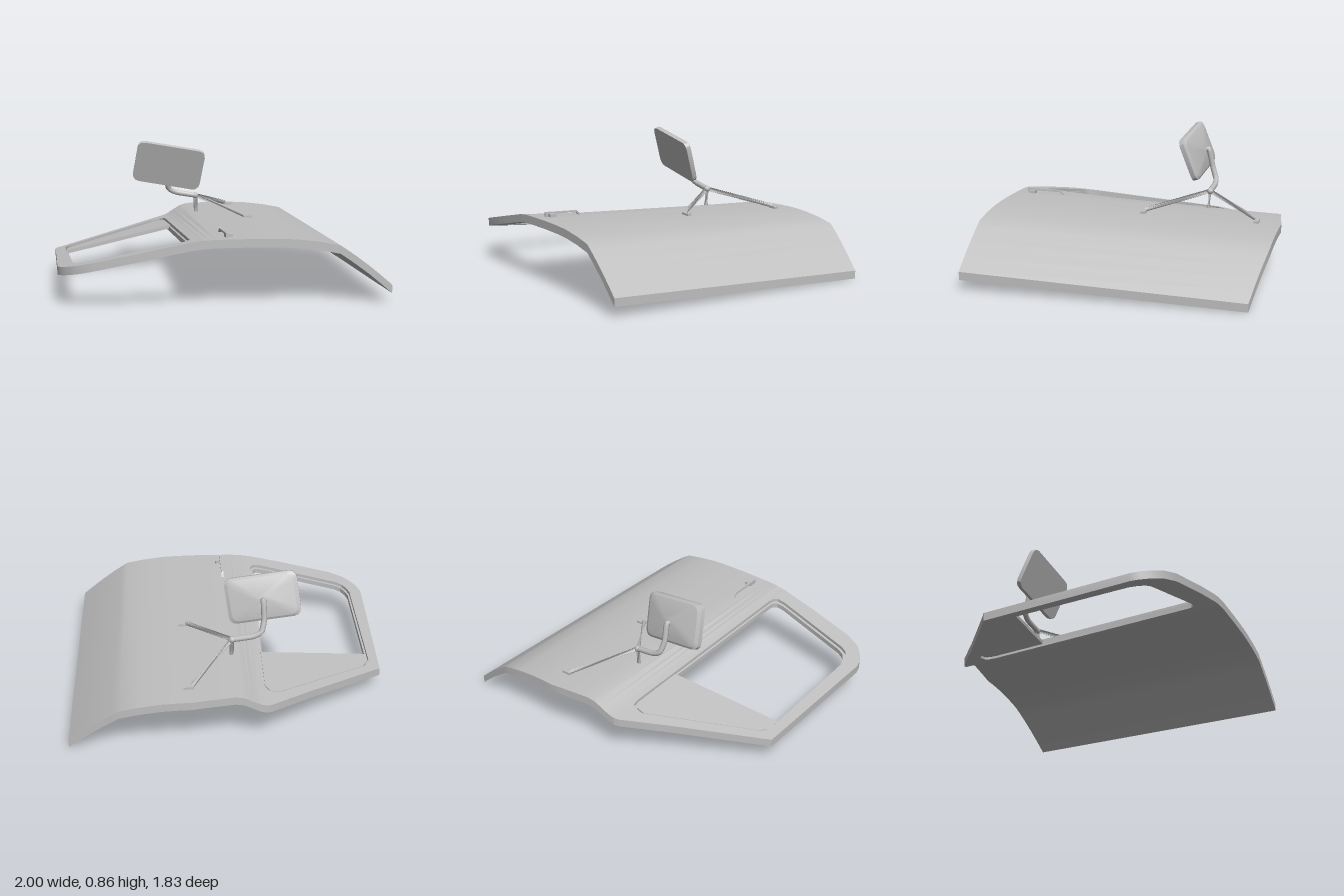
import * as THREE from 'three';
import { toCreasedNormals } from 'three/addons/utils/BufferGeometryUtils.js';

const THICK = 0.05;

// piecewise linear lookup in [[key, value], ...]
function lerpTable(t, k) {
  for (let i = 1; i < t.length; i++) {
    if (k <= t[i][0] || i === t.length - 1) {
      const f = (k - t[i - 1][0]) / (t[i][0] - t[i - 1][0]);
      return t[i - 1][1] + f * (t[i][1] - t[i - 1][1]);
    }
  }
}

// height of the outer skin across the door, at its front end
const PROFILE = [[-1, 0.25], [-0.213, 0.402], [-0.15, 0.409], [-0.08, 0.412], [0.15, 0.412], [0.3, 0.408], [0.4, 0.402],
  [0.53, 0.385], [0.655, 0.36], [0.7, 0.33], [0.76, 0.287], [0.83, 0.234], [0.9, 0.176], [0.97, 0.115]];
const BACK = [[-0.213, -0.863], [0.23, -0.92], [0.653, -0.905], [0.97, -0.83]];
const FRONT = [[-0.213, 0.853], [-0.094, 0.862], [0.657, 0.89], [0.97, 0.91]];

// skin height: slopes backwards, more steeply in the window frame
function skinY(u, z) {
  const slope = 0.077 - 0.042 * THREE.MathUtils.smoothstep(u, -0.22, -0.03);
  return lerpTable(PROFILE, u) + slope * (z - 0.88);
}
// the whole door leans slightly sideways along its length
const skinX = (u, z) => u - 0.03 * z;

// surface between rings of points, with closed ends
function loft(rings, crease = 0.45) {
  const n = rings[0].length, pos = rings.flat(2), idx = [];
  for (let r = 0; r < rings.length - 1; r++) {
    for (let i = 0; i < n; i++) {
      const a = r * n + i, b = r * n + (i + 1) % n;
      idx.push(a, b, b + n, a, b + n, a + n);
    }
  }
  const last = (rings.length - 1) * n;
  for (let i = 1; i < n - 1; i++) idx.push(0, i + 1, i, last, last + i, last + i + 1);
  const g = new THREE.BufferGeometry();
  g.setAttribute('position', new THREE.Float32BufferAttribute(pos, 3));
  g.setIndex(idx);
  return toCreasedNormals(g, crease);
}

// flat outline in (u, z), bent onto the skin between two depths
function bentPlate(points, hole, top, bottom) {
  const flip = (pts) => pts.map(([u, z]) => new THREE.Vector2(u, -z));
  const shape = new THREE.Shape(flip(points));
  if (hole) shape.holes.push(new THREE.Path(flip(hole)));
  const g = new THREE.ExtrudeGeometry(shape, { depth: bottom - top, bevelEnabled: false });
  g.rotateX(-Math.PI / 2);
  const p = g.attributes.position;
  for (let i = 0; i < p.count; i++) {
    const u = p.getX(i), z = p.getZ(i);
    p.setXYZ(i, skinX(u, z), skinY(u, z) - bottom + p.getY(i), z);
  }
  return toCreasedNormals(g, 0.45);
}

export function createModel() {
  const root = new THREE.Group();
  root.name = 'vehicleDoor';
  const grey = new THREE.MeshStandardMaterial({ color: 0xbfbfbf });
  grey.name = 'paintGrey';
  const add = (name, geometry, parent = root) => {
    const m = new THREE.Mesh(geometry, grey);
    m.name = name;
    parent.add(m);
    return m;
  };
  const tube = (name, pts, radius, parent, smooth = 0.3) => {
    const curve = new THREE.CatmullRomCurve3(pts.map((p) => new THREE.Vector3(...p)), false, 'catmullrom', smooth);
    return add(name, new THREE.TubeGeometry(curve, pts.length > 2 ? 24 : 1, radius, 8), parent);
  };
  const box = (name, size, at, parent) => {
    const m = add(name, new THREE.BoxGeometry(...size), parent);
    m.position.set(...at);
    return m;
  };

  // lower door panel, lofted across its width
  const columns = [-0.213, -0.18, -0.15, -0.12, -0.08, -0.03, 0.06, 0.15, 0.23, 0.3, 0.4, 0.53, 0.655, 0.7, 0.76, 0.83, 0.9, 0.97];
  add('doorPanel', loft(columns.map((u) => {
    const zb = lerpTable(BACK, u), zf = lerpTable(FRONT, u);
    const at = (z, d) => [skinX(u, z), skinY(u, z) - d, z];
    return [at(zb, 0), at(zf, 0), at(zf, THICK), at(zb, THICK)];
  })));

  // window frame, a C shape joined to the panel
  const opening = [[-0.213, -0.65], [-0.222, -0.69], [-0.245, -0.712], [-0.3, -0.715], [-0.88, -0.325], [-0.905, -0.295],
    [-0.918, -0.25], [-0.9, 0.55], [-0.882, 0.6], [-0.855, 0.638], [-0.81, 0.66], [-0.288, 0.745], [-0.24, 0.742],
    [-0.218, 0.72], [-0.213, 0.69]];
  const rim = [[-0.213, 0.853], [-0.455, 0.83], [-0.776, 0.785], [-0.878, 0.745], [-0.94, 0.68], [-0.968, 0.63],
    [-0.983, 0.58], [-0.98, -0.33], [-0.49, -0.67], [-0.245, -0.85], [-0.213, -0.863]];
  add('windowFrame', bentPlate([...rim, ...opening], null, 0, THICK));

  // stepped lip inside the opening
  const lip = opening.map(([u, z]) => [-0.55 + (u + 0.55) * 0.965, z * 0.975]);
  add('windowLip', bentPlate(opening, lip, 0.02, THICK));

  // fixed corner pane at the back of the opening
  add('cornerPane', bentPlate([[-0.216, -0.3], [-0.218, -0.645], [-0.245, -0.69], [-0.3, -0.695], [-0.872, -0.312],
    [-0.91, -0.25], [-0.908, -0.17]], null, 0.012, 0.035));

  // door handle
  const handle = new THREE.Group();
  handle.name = 'doorHandle';
  root.add(handle);
  const grip = box('handleGrip', [0.014, 0.012, 0.22], [-0.028, 0.427, 0.685], handle);
  grip.rotation.x = -0.04;
  const ramp = box('handleRamp', [0.014, 0.012, 0.055], [-0.028, 0.407, 0.558], handle);
  ramp.rotation.x = -0.75;
  box('handleEnd', [0.014, 0.035, 0.05], [-0.028, 0.416, 0.77], handle);
  box('handleLock', [0.045, 0.022, 0.04], [-0.012, 0.416, 0.757], handle);

  // mirror bracket
  const bracket = new THREE.Group();
  bracket.name = 'mirrorBracket';
  root.add(bracket);
  const joint = [-0.015, 0.475, -0.43];
  tube('mirrorArm', [[-0.21, 0.7, -0.35], [-0.21, 0.71, -0.385], [-0.213, 0.6, -0.41], [-0.195, 0.525, -0.435],
    [-0.14, 0.497, -0.44], joint], 0.018, bracket);
  const hub = add('bracketHub', new THREE.SphereGeometry(0.021, 12, 8), bracket);
  hub.position.set(...joint);
  for (const z of [-0.77, -0.06]) {
    const y = skinY(0.26, z) + 0.008;
    tube('bracketLeg', [joint, [0.25, y + 0.008, z]], 0.014, bracket);
    const foot = box('bracketFoot', [0.06, 0.014, 0.03], [0.27, y, z], bracket);
    foot.rotation.z = -0.03;
  }
  tube('bracketPost', [joint, [-0.012, 0.36, -0.42]], 0.014, bracket);

  // mirror head: rounded rectangle with a tapering back
  const W = 0.225, H = 0.142, R = 0.045;
  const ring = (scale, depth) => {
    const pts = [];
    for (let c = 0; c < 4; c++) {
      const sx = c === 0 || c === 3 ? 1 : -1, sy = c < 2 ? 1 : -1;
      for (let k = 0; k <= 3; k++) {
        const a = (c + k / 3) * Math.PI / 2;
        pts.push([(sx * (W - R) + R * Math.cos(a)) * scale, (sy * (H - R) + R * Math.sin(a)) * scale, depth]);
      }
    }
    return pts;
  };
  const head = add('mirrorHead', loft([ring(0.9, -0.03), ring(1, -0.018), ring(1, 0.012)], 0.4));
  add('mirrorBack', loft([ring(0.12, -0.065), ring(0.9, -0.03)], 0.4), head);
  const across = new THREE.Vector3(0.98, -0.17, 0.1).normalize();
  const normal = across.clone().cross(new THREE.Vector3(0.15, 0.93, 0.33)).normalize();
  const up = normal.clone().cross(across);
  head.quaternion.setFromRotationMatrix(new THREE.Matrix4().makeBasis(across, up, normal));
  head.position.set(-0.213, 0.698, -0.305);

  return root;
}
